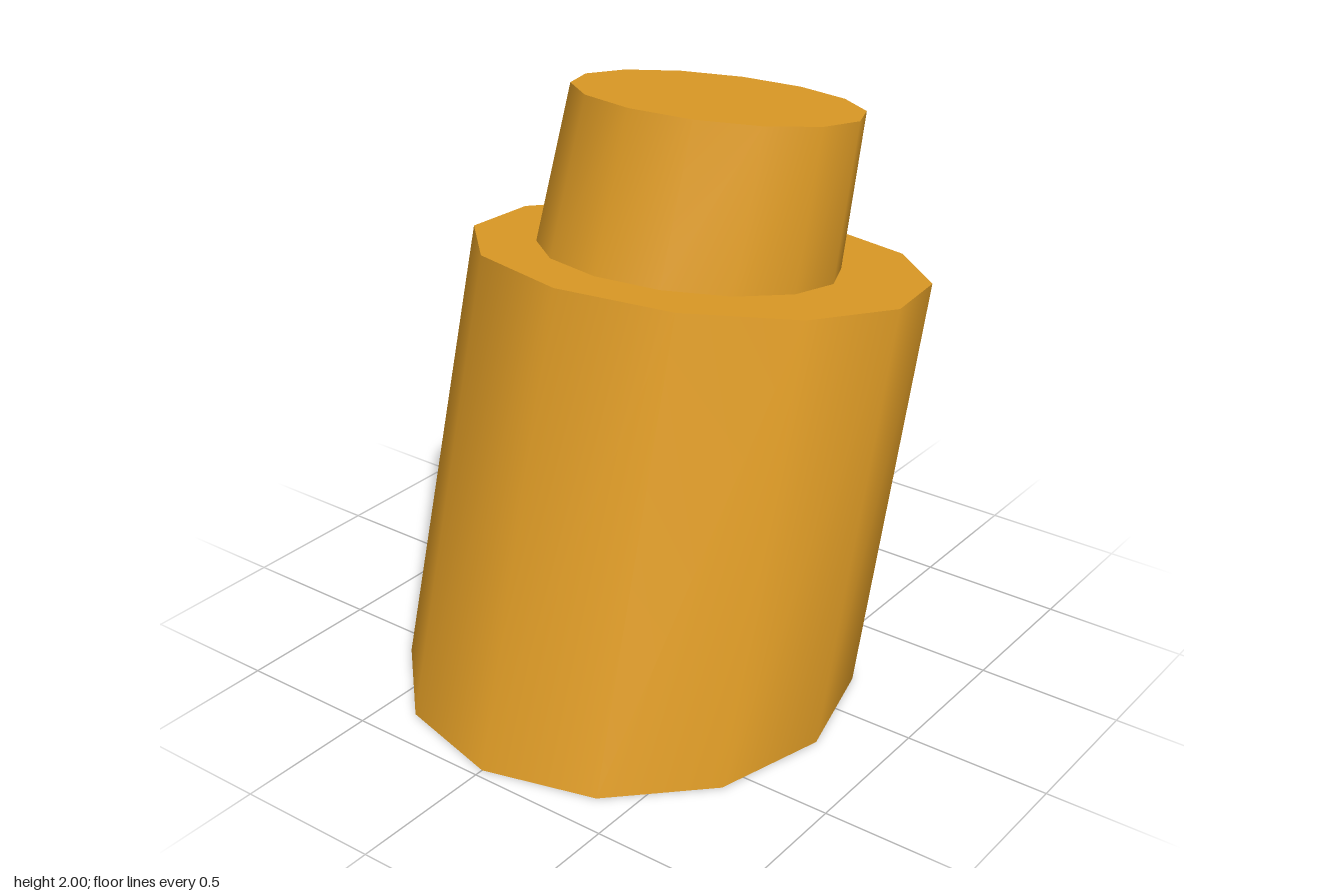
import * as THREE from 'three';

const SLOPE = 0.177; // tilt of both upper faces

// Closed loop of points, counterclockwise from above, on a plane tilted along z
function ring(n, r, cx, cy, cz, slope = 0) {
  return Array.from({ length: n }, (_, i) => {
    const a = (i / n) * Math.PI * 2;
    const dz = r * Math.cos(a);
    return new THREE.Vector3(cx + r * Math.sin(a), cy + slope * dz, cz + dz);
  });
}

// Band between two loops of equal count
function band(a, b, flat = false) {
  const n = a.length;
  const index = [];
  for (let i = 0; i < n; i++) {
    const j = (i + 1) % n;
    index.push(i, j, n + j, i, n + j, n + i);
  }
  let g = new THREE.BufferGeometry().setFromPoints([...a, ...b]);
  g.setIndex(index);
  if (flat) g = g.toNonIndexed();
  g.computeVertexNormals();
  return g;
}

// Flat face filling one loop
function cap(loop, down = false) {
  const c = new THREE.Vector3();
  loop.forEach((p) => c.addScaledVector(p, 1 / loop.length));
  const n = loop.length;
  const index = [];
  for (let i = 0; i < n; i++) {
    const j = (i + 1) % n;
    index.push(...(down ? [j, i, n] : [i, j, n]));
  }
  const g = new THREE.BufferGeometry().setFromPoints([...loop, c]);
  g.setIndex(index);
  g.computeVertexNormals();
  return g;
}

export function createModel() {
  const amber = new THREE.MeshStandardMaterial({ color: 0xdf9c26 });
  amber.name = 'amber';
  const model = new THREE.Group();
  model.name = 'slantedPeg';

  const add = (name, geometry) => {
    const mesh = new THREE.Mesh(geometry, amber);
    mesh.name = name;
    model.add(mesh);
  };

  // Leaning twelve-sided body with a tilted top
  const bodyBase = ring(12, 0.77, 0, 0, 0.2);
  const bodyTop = ring(12, 0.765, 0, 1.395, -0.2075, SLOPE);
  add('bodySide', band(bodyBase, bodyTop));
  add('bodyTop', cap(bodyTop));

  // Socket sunk into the underside
  const socketRim = ring(12, 0.525, 0, 0, 0.2);
  const socketEnd = ring(12, 0.525, 0, 0.55, 0.2);
  add('bodyUnderside', band(socketRim, bodyBase));
  add('socketWall', band(socketEnd, socketRim, true));
  add('socketCeiling', cap(socketEnd, true));

  // Fourteen-sided stud, slightly tapered
  const studBase = ring(14, 0.505, -0.02, 1.402, -0.168, SLOPE);
  const studTop = ring(14, 0.482, 0, 1.915, -0.3, SLOPE);
  add('studSide', band(studBase, studTop));
  add('studTop', cap(studTop));

  return model;
}
